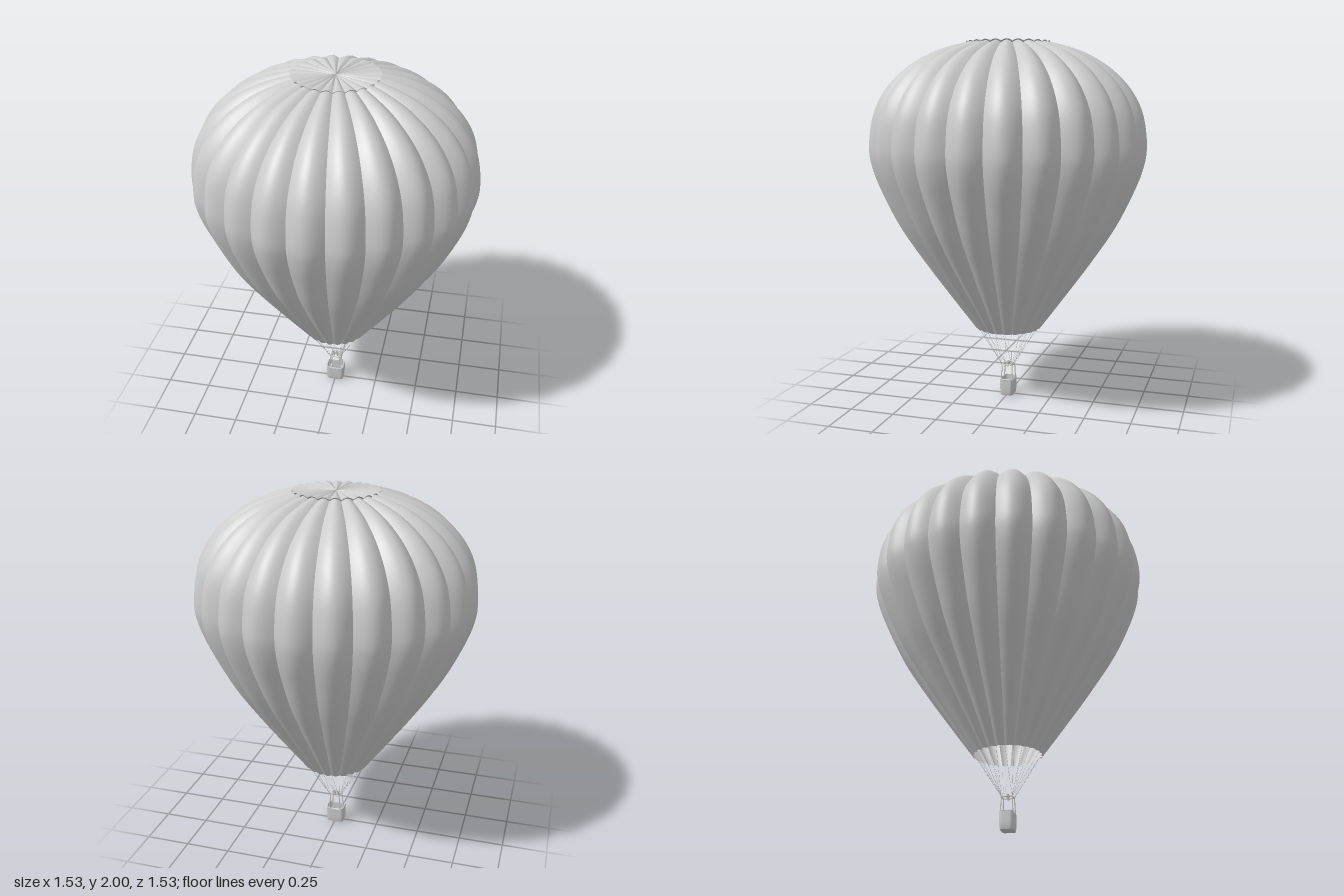
import * as THREE from 'three';
import { mergeGeometries } from 'three/addons/utils/BufferGeometryUtils.js';
import { ParametricGeometry } from 'three/addons/geometries/ParametricGeometry.js';

const GORES = 24;
const STEP = (Math.PI * 2) / GORES;
const skin = new THREE.MeshStandardMaterial({ color: 0xcccccc, side: THREE.DoubleSide });
const solid = new THREE.MeshStandardMaterial({ color: 0xcccccc });
const V = (x, y, z) => new THREE.Vector3(x, y, z);

function add(parent, name, geometry, material = solid) {
  const mesh = new THREE.Mesh(geometry, material);
  mesh.name = name;
  parent.add(mesh);
  return mesh;
}

// Straight round bar between two points
function bar(a, b, radius, sides = 8) {
  return new THREE.TubeGeometry(new THREE.LineCurve3(a, b), 1, radius, sides, false);
}

// One gore repeated around the axis; separate gores keep the seams sharp
function gores(surface, slices, stacks) {
  const parts = [];
  for (let i = 0; i < GORES; i++) {
    const g = new ParametricGeometry((u, v, target) => {
      const [r, y] = surface(Math.sin(Math.PI * u), v);
      const a = (u - 0.5) * STEP;
      target.set(r * Math.sin(a), y, r * Math.cos(a));
    }, slices, stacks);
    parts.push(g.rotateY(i * STEP));
  }
  return mergeGeometries(parts);
}

// Rounded rectangle outline with evenly useful points along the long sides
function roundedOutline(Type, w, d) {
  const pts = [];
  for (let i = 0; i < 72; i++) {
    const a = (i / 72) * Math.PI * 2, c = Math.cos(a), s = Math.sin(a);
    pts.push(new THREE.Vector2(
      w * Math.sign(c) * Math.abs(c) ** 0.36,
      d * Math.sign(s) * Math.abs(s) ** 0.36));
  }
  return new Type(pts);
}

export function createModel() {
  const model = new THREE.Group();
  model.name = 'hotAirBalloon';

  // Envelope: seam profile from mouth to crown, with bulging gores
  const seam = new THREE.SplineCurve([
    [0.175, 0.4], [0.314, 0.6], [0.449, 0.8], [0.572, 1.0], [0.664, 1.2],
    [0.71, 1.34], [0.719, 1.45], [0.695, 1.6], [0.635, 1.72], [0.545, 1.82],
    [0.43, 1.9], [0.32, 1.948], [0.222, 1.978],
  ].map(([r, y]) => new THREE.Vector2(r, y)));
  add(model, 'envelope', gores((bump, v) => {
    const p = seam.getPoint(v), t = seam.getTangent(v);
    const lift = 0.06 * p.x * bump;
    const up = Math.max(0, -t.x); // bulge leans upward only above the equator
    return [p.x + lift * Math.sqrt(1 - up * up), p.y + lift * up];
  }, 12, 56), skin);

  // Pleated crown panel closing the top
  add(model, 'crownPanel', gores((bump, v) => {
    const k = 0.005 + 0.995 * v;
    return [0.23 * k, 1.988 + 0.011 * bump * Math.sqrt(k) - 0.002 * k];
  }, 10, 10), skin);

  // Basket wall: rounded, tucked in at the bottom, rim raised at both ends
  const basket = new THREE.Group();
  basket.name = 'basket';
  model.add(basket);
  const W = 0.053, D = 0.039, H = 0.082;
  const rimY = (x) => H + 0.014 * (x / W) ** 2;
  const outline = roundedOutline(THREE.Shape, W, D);
  outline.holes.push(roundedOutline(THREE.Path, W - 0.006, D - 0.006));
  const wall = new THREE.ExtrudeGeometry(outline, { depth: 1, steps: 10, bevelEnabled: false });
  wall.rotateX(-Math.PI / 2);
  const pos = wall.attributes.position;
  for (let i = 0; i < pos.count; i++) {
    const x = pos.getX(i), h = pos.getY(i), s = 1 - 0.1 * (1 - h) ** 5;
    pos.setXYZ(i, x * s, h * rimY(x), pos.getZ(i) * s);
  }
  wall.computeVertexNormals();
  add(basket, 'basketWall', wall);

  const floor = new THREE.ExtrudeGeometry(roundedOutline(THREE.Shape, W * 0.9, D * 0.9),
    { depth: 0.006, bevelEnabled: false });
  add(basket, 'basketFloor', floor.rotateX(-Math.PI / 2));

  const rimPath = roundedOutline(THREE.Shape, W - 0.003, D - 0.003).getPoints()
    .map((p) => V(p.x, rimY(p.x), p.y));
  add(basket, 'basketRim', new THREE.TubeGeometry(
    new THREE.CatmullRomCurve3(rimPath, true), 96, 0.004, 8, true));

  // Fuel tanks standing in the basket
  for (const x of [-1, 1]) {
    const tank = add(basket, 'fuelTank', new THREE.CapsuleGeometry(0.011, 0.04, 4, 14));
    tank.position.set(x * 0.032, 0.037, -0.018);
  }

  // Uprights and burner frame
  const frameY = 0.175;
  const corners = [[1, 1], [-1, 1], [-1, -1], [1, -1]];
  const top = corners.map(([x, z]) => V(x * 0.026, frameY, z * 0.029));
  corners.forEach(([x, z], i) => {
    add(model, 'upright', bar(V(x * 0.034, 0.07, z * 0.034), top[i], 0.0032));
    add(model, 'burnerFrame', bar(top[i], top[(i + 1) % 4], 0.003));
    add(model, 'frameJoint', new THREE.SphereGeometry(0.0045, 10, 8)).position.copy(top[i]);
  });
  add(model, 'burnerCrossbar', bar(V(-0.026, frameY, 0), V(0.026, frameY, 0), 0.003));

  // Twin burners
  for (const x of [-0.01, 0.01]) {
    add(model, 'burnerCan', new THREE.CylinderGeometry(0.0085, 0.007, 0.018, 16, 1, true), skin)
      .position.set(x, 0.18, 0);
    add(model, 'burnerBase', new THREE.CylinderGeometry(0.005, 0.005, 0.012, 12))
      .position.set(x, 0.168, 0);
  }

  // Suspension lines from each seam at the mouth to the nearest frame corner
  const lines = [];
  for (let i = 0; i < GORES; i++) {
    const a = (i + 0.5) * STEP;
    const end = V(0.175 * Math.sin(a), 0.402, 0.175 * Math.cos(a));
    const start = top.find((c) => c.x * end.x > 0 && c.z * end.z > 0);
    lines.push(bar(start, end, 0.0007, 5));
  }
  add(model, 'suspensionLines', mergeGeometries(lines));

  return model;
}
